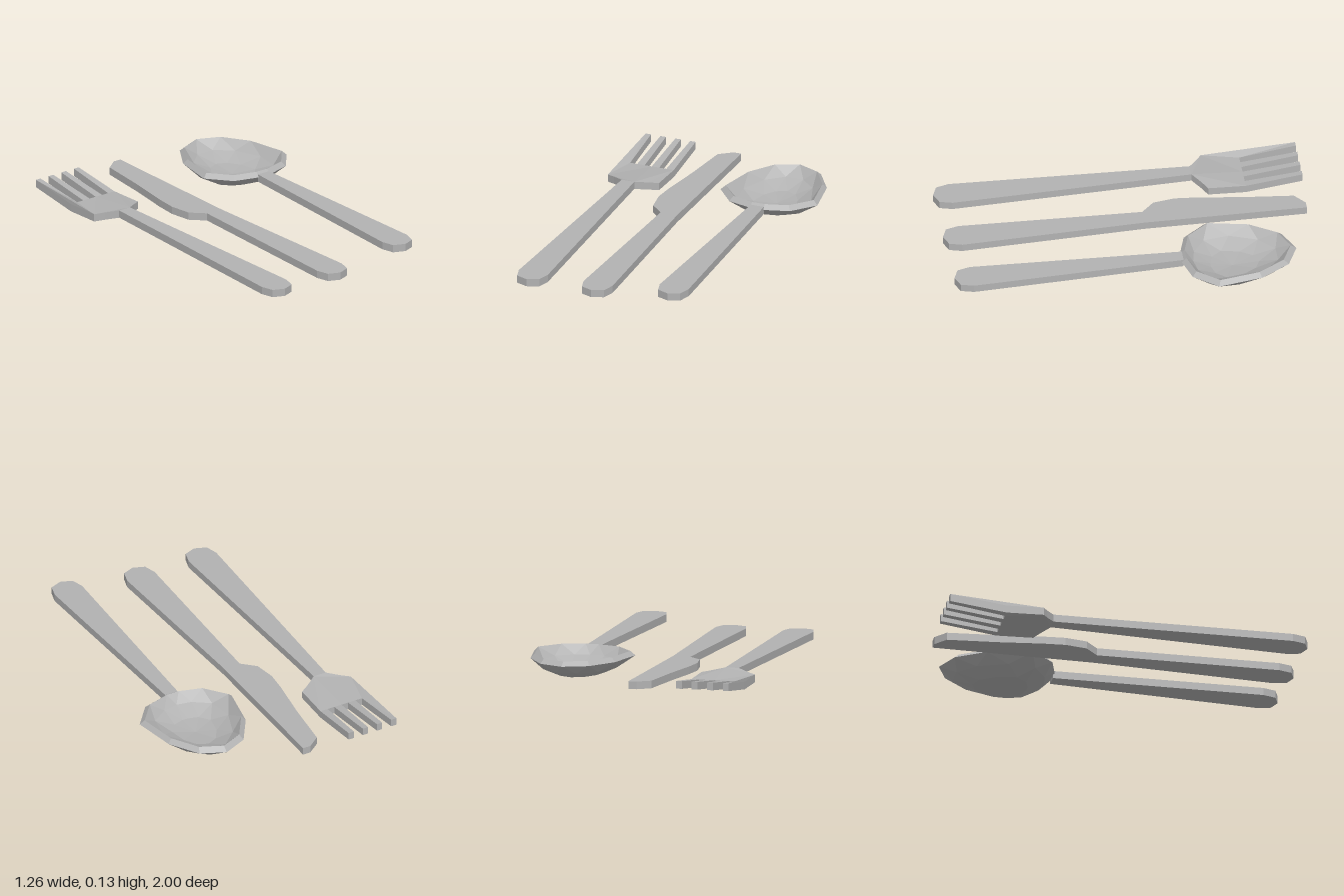
import * as THREE from 'three';

const steel = new THREE.MeshStandardMaterial({ color: 0xb2b2b2, flatShading: true });
steel.name = 'steel';

// Height of a bent piece at z, from [z, y] knots in rising z
function heightAt(knots, z) {
  for (let i = 1; i < knots.length; i++) {
    const [z0, y0] = knots[i - 1], [z1, y1] = knots[i];
    if (z <= z1 || i === knots.length - 1) return y0 + (y1 - y0) * (z - z0) / (z1 - z0);
  }
}

// Flat plate from an [x, z] outline, its underside following the knots
function plate(name, outline, thickness, knots) {
  const shape = new THREE.Shape(outline.map(([x, z]) => new THREE.Vector2(x, -z)));
  const geo = new THREE.ExtrudeGeometry(shape, { depth: thickness, bevelEnabled: false });
  geo.rotateX(-Math.PI / 2);
  const p = geo.attributes.position;
  for (let i = 0; i < p.count; i++) p.setY(i, p.getY(i) + heightAt(knots, p.getZ(i)));
  geo.computeVertexNormals();
  const mesh = new THREE.Mesh(geo, steel);
  mesh.name = name;
  return mesh;
}

// Rounded handle end shared by all three pieces, listed from right to left
const handleEnd = (cx) => [
  [cx + 0.085, 0.9], [cx + 0.065, 0.97], [cx, 0.995], [cx - 0.065, 0.97], [cx - 0.085, 0.9],
];

function fork() {
  const cx = -0.485;
  const outline = [...handleEnd(cx), [cx - 0.037, -0.41], [cx - 0.1, -0.455], [cx - 0.15, -0.485]];
  // Four tapering tines
  for (let i = 0; i < 4; i++) {
    const base = cx - 0.128 + i * 0.0853, tip = cx - 0.131 + i * 0.0873;
    outline.push([base - 0.022, -0.69], [tip - 0.016, -1], [tip + 0.016, -1], [base + 0.022, -0.69]);
  }
  outline.push([cx + 0.15, -0.485], [cx + 0.1, -0.455], [cx + 0.037, -0.41]);
  return plate('fork', outline, 0.042, [[-1, 0.043], [-0.69, 0.001], [-0.485, 0.006], [-0.41, 0.024], [1, 0.004]]);
}

function knife() {
  const outline = [
    ...handleEnd(-0.105),
    [-0.162, -0.1], [-0.235, -0.17], [-0.255, -0.29], [-0.245, -0.41],
    [-0.21, -0.65], [-0.18, -0.93], [-0.11, -0.985], [-0.065, -0.985], [-0.065, -0.1],
  ];
  return plate('knife', outline, 0.042, [[-1, 0.026], [1, 0.004]]);
}

// Faceted bowl: scaled copies of the rim outline, joined from underside to inside
function spoonBowl() {
  const cx = 0.342, cz = -0.52;
  const half = [[0.136, -0.81], [0.238, -0.65], [0.284, -0.41], [0.178, -0.28], [0.04, -0.24]];
  const rim = [[0, -0.87], ...half, ...half.map(([x, z]) => [-x, z]).reverse()];
  const n = rim.length;
  // [scale, height, half step]
  const profile = [
    [0, 0.004, 0], [0.48, 0.02, 0], [0.82, 0.058, 1], [1, 0.108, 0],
    [0.91, 0.132, 0], [0.76, 0.08, 1], [0.42, 0.042, 0], [0, 0.03, 0],
  ];
  const point = ([s, y, shift], j) => {
    const a = rim[j % n], b = rim[(j + shift) % n];
    return [cx + s * (a[0] + b[0]) / 2, y, cz + s * ((a[1] + b[1]) / 2 - cz)];
  };
  const pos = [];
  for (let i = 0; i < profile.length - 1; i++) {
    const A = profile[i], B = profile[i + 1];
    for (let j = 0; j < n; j++) {
      const a0 = point(A, j), a1 = point(A, j + 1), b0 = point(B, j), b1 = point(B, j + 1);
      if (A[0] === 0) pos.push(...a0, ...b0, ...b1);
      else if (B[0] === 0) pos.push(...a0, ...b0, ...a1);
      else if (B[2]) pos.push(...a0, ...b0, ...a1, ...a1, ...b0, ...b1);
      else pos.push(...a0, ...b0, ...b1, ...a0, ...b1, ...a1);
    }
  }
  const geo = new THREE.BufferGeometry();
  geo.setAttribute('position', new THREE.Float32BufferAttribute(pos, 3));
  geo.computeVertexNormals();
  const mesh = new THREE.Mesh(geo, steel);
  mesh.name = 'spoonBowl';
  return mesh;
}

function spoon() {
  const group = new THREE.Group();
  group.name = 'spoon';
  const cx = 0.342;
  const outline = [...handleEnd(cx), [cx - 0.038, -0.25], [cx + 0.038, -0.25]];
  group.add(plate('spoonHandle', outline, 0.042, [[-0.25, 0.08], [1, 0.06]]), spoonBowl());
  return group;
}

export function createModel() {
  const model = new THREE.Group();
  model.name = 'cutlerySet';
  model.add(fork(), knife(), spoon());
  return model;
}
